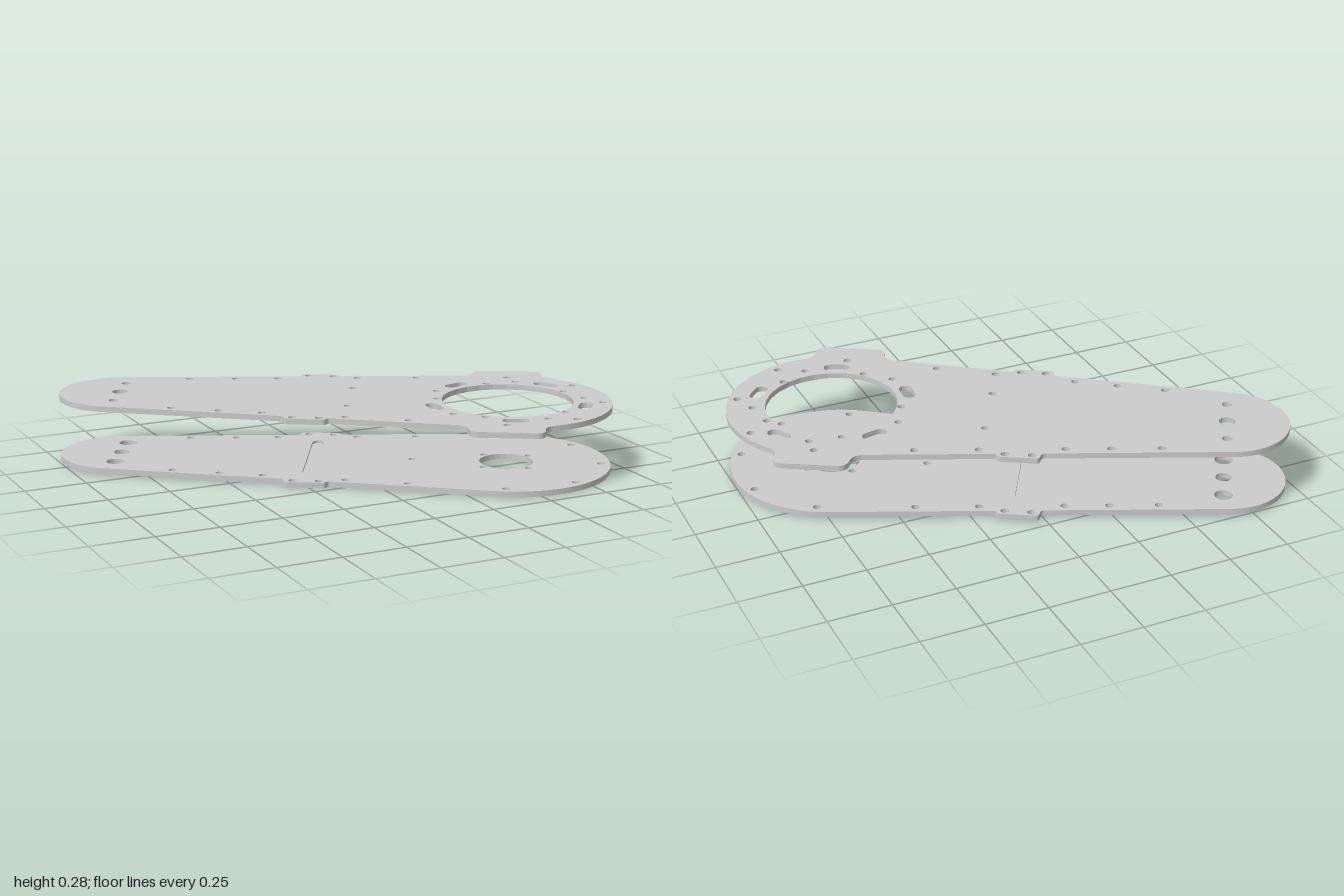
import * as THREE from 'three';

// Plate layout: u runs along the arm, v across it, origin at the large end.
const R = 0.415, r = 0.243, L = 1.557, T = 0.022;
const tilt = Math.asin((R - r) / L);
const DEG = Math.PI / 180;
const edge = u => (R + u * Math.sin(tilt)) / Math.cos(tilt);

const circle = (u, v, rad) => new THREE.Path().absarc(u, v, rad, 0, Math.PI * 2, true);
const polar = (rad, deg) => [rad * Math.cos(deg * DEG), rad * Math.sin(deg * DEG)];
const ring = (n, rad, start, step, size) =>
  Array.from({ length: n }, (_, i) => circle(...polar(rad, start + i * step), size));

// Round-ended slot as a list of points
function slotPoints(u, v, angle, length, width) {
  const pts = [], h = width / 2, d = length / 2 - h;
  for (const end of [0, 1]) {
    for (let i = 0; i <= 12; i++) {
      const a = -Math.PI / 2 + Math.PI * (i / 12 + end);
      const p = new THREE.Vector2(Math.cos(a) * h + (end ? -d : d), Math.sin(a) * h);
      pts.push(p.rotateAround(new THREE.Vector2(), angle).add(new THREE.Vector2(u, v)));
    }
  }
  return pts;
}

// Half the outline is drawn, then mirrored across the arm's axis
function outline(withLobes) {
  const p = new THREE.Path();
  p.absarc(-L, 0, r, Math.PI, Math.PI * 1.5 - tilt, false);
  // small edge tab
  p.lineTo(-0.87, -edge(-0.87));
  p.quadraticCurveTo(-0.857, -0.325, -0.857, -0.345);
  p.quadraticCurveTo(-0.857, -0.362, -0.84, -0.362);
  p.lineTo(-0.71, -0.362);
  p.quadraticCurveTo(-0.695, -0.362, -0.693, -0.35);
  p.lineTo(-0.685, -edge(-0.685));
  let start = -Math.PI / 2 - tilt;
  if (withLobes) {
    // mounting lobe beside the large end
    p.lineTo(-0.2, -edge(-0.2));
    p.quadraticCurveTo(-0.15, -0.4, -0.146, -0.445);
    p.quadraticCurveTo(-0.143, -0.489, -0.105, -0.489);
    p.lineTo(0.1, -0.489);
    p.quadraticCurveTo(0.145, -0.489, 0.142, -0.445);
    p.quadraticCurveTo(0.14, -0.395, 0.172, -0.378);
    start = Math.atan2(-0.378, 0.172);
  }
  p.absarc(0, 0, R, start, 0, false);
  const half = p.getPoints(20);
  const mirrored = half.slice(1, -1).reverse().map(q => new THREE.Vector2(q.x, -q.y));
  return new THREE.Shape([...half, ...mirrored]);
}

// Extrusion laid flat, from y = 0 up to the given height
function slab(shape, height, name, material) {
  const g = new THREE.ExtrudeGeometry(shape, { depth: height, bevelEnabled: false, curveSegments: 14 });
  g.rotateX(Math.PI / 2).translate(0, height, 0);
  const m = new THREE.Mesh(g, material);
  m.name = name;
  return m;
}

// Screw holes shared by both plates
function commonHoles() {
  const holes = [circle(-L, 0, 0.032), ...ring(5, 0.378, -90, 45, 0.016)];
  for (const s of [-1, 1]) {
    for (const u of [-1.31, -1.12, -0.948, -0.621, -0.377]) {
      holes.push(circle(u, s * (edge(u) - 0.034), 0.016));
    }
    for (const u of [-0.825, -0.722]) holes.push(circle(u, s * 0.338, 0.016));
  }
  return holes;
}

export function createModel() {
  const model = new THREE.Group();
  model.name = 'armPlates';
  const material = new THREE.MeshStandardMaterial({ color: 0xcccccc });

  const topHoles = [
    circle(0, 0, 0.262),
    ...ring(5, 0.279, 36, 72, 0.015),
    ...ring(5, 0.312, -12, 72, 0.015),
    ...[-1, 1].flatMap(s => [circle(-L, s * 0.139, 0.02), circle(-0.626, s * 0.143, 0.015)]),
  ];
  for (let k = 0; k < 5; k++) {
    const a = 12 + 72 * k;
    topHoles.push(new THREE.Path(slotPoints(...polar(0.312, a), (a + 90) * DEG, 0.105, 0.052)));
  }
  const bottomHoles = [
    circle(0, 0, 0.108),
    ...ring(4, 0.127, 45, 90, 0.015),
    circle(-0.377, 0, 0.015),
    ...[-1, 1].map(s => circle(-L, s * 0.139, 0.036)),
  ];

  const plates = [
    { name: 'bottomPlate', y: 0.003, lobes: false, holes: bottomHoles, floorY: 0 },
    { name: 'topPlate', y: 0.255, lobes: true, holes: topHoles, floorY: T / 2 },
  ];
  for (const { name, y, lobes, holes, floorY } of plates) {
    const plate = new THREE.Group();
    plate.name = name;
    // cross groove on the inner face, closed by a floor on the outer side
    const groove = slotPoints(-0.775, 0, Math.PI / 2, 0.48, 0.048);
    const shape = outline(lobes);
    shape.holes.push(...commonHoles(), ...holes, new THREE.Path(groove));
    const floor = slab(new THREE.Shape(groove), T / 2, 'grooveFloor', material);
    floor.position.y = floorY;
    plate.add(slab(shape, T, 'plateBody', material), floor);
    plate.position.set(0.583, y, 0.278);
    plate.rotation.set(0.007, -30.6 * DEG, 0);
    model.add(plate);
  }
  return model;
}
